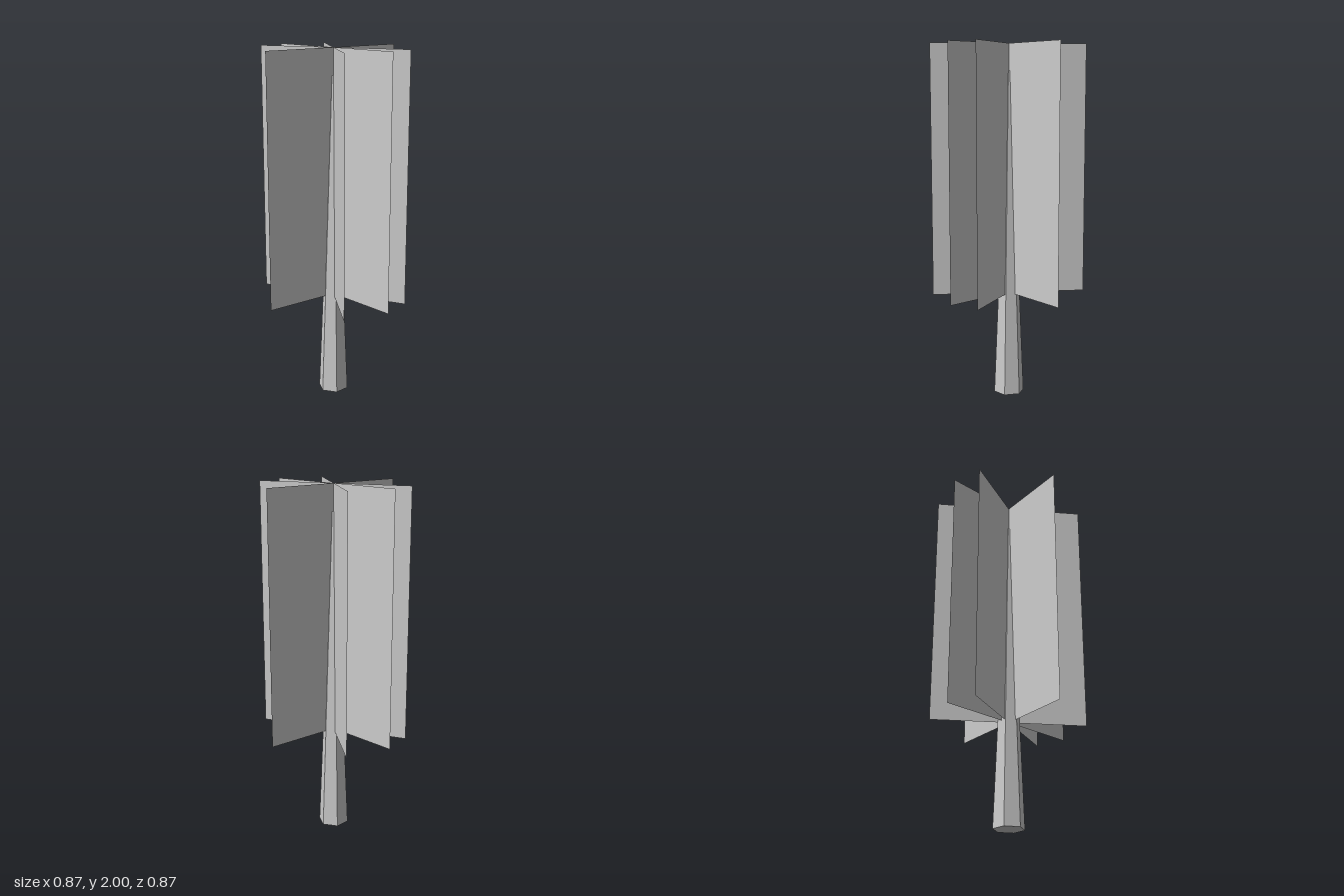
import * as THREE from 'three';

export function createModel() {
  const group = new THREE.Group();

  // Tapered six-sided trunk
  const trunkHeight = 1.85;
  const trunk = new THREE.Mesh(
    new THREE.CylinderGeometry(0.01, 0.087, trunkHeight, 6),
    new THREE.MeshStandardMaterial({ color: 0xcccccc, flatShading: true })
  );
  trunk.name = 'trunk';
  trunk.position.y = trunkHeight / 2;
  group.add(trunk);

  // Flat foliage cards crossing on the trunk axis
  const bottom = 0.59, top = 2, width = 0.872;
  const cardGeometry = new THREE.PlaneGeometry(width, top - bottom);
  const cardMaterial = new THREE.MeshStandardMaterial({ color: 0xcccccc, side: THREE.DoubleSide });
  const foliage = new THREE.Group();
  foliage.name = 'foliage';
  [0, 24, -36, -96].forEach((degrees, i) => {
    const card = new THREE.Mesh(cardGeometry, cardMaterial);
    card.name = `foliageCard${i + 1}`;
    card.position.y = (bottom + top) / 2;
    card.rotation.y = THREE.MathUtils.degToRad(degrees);
    foliage.add(card);
  });
  group.add(foliage);

  return group;
}
